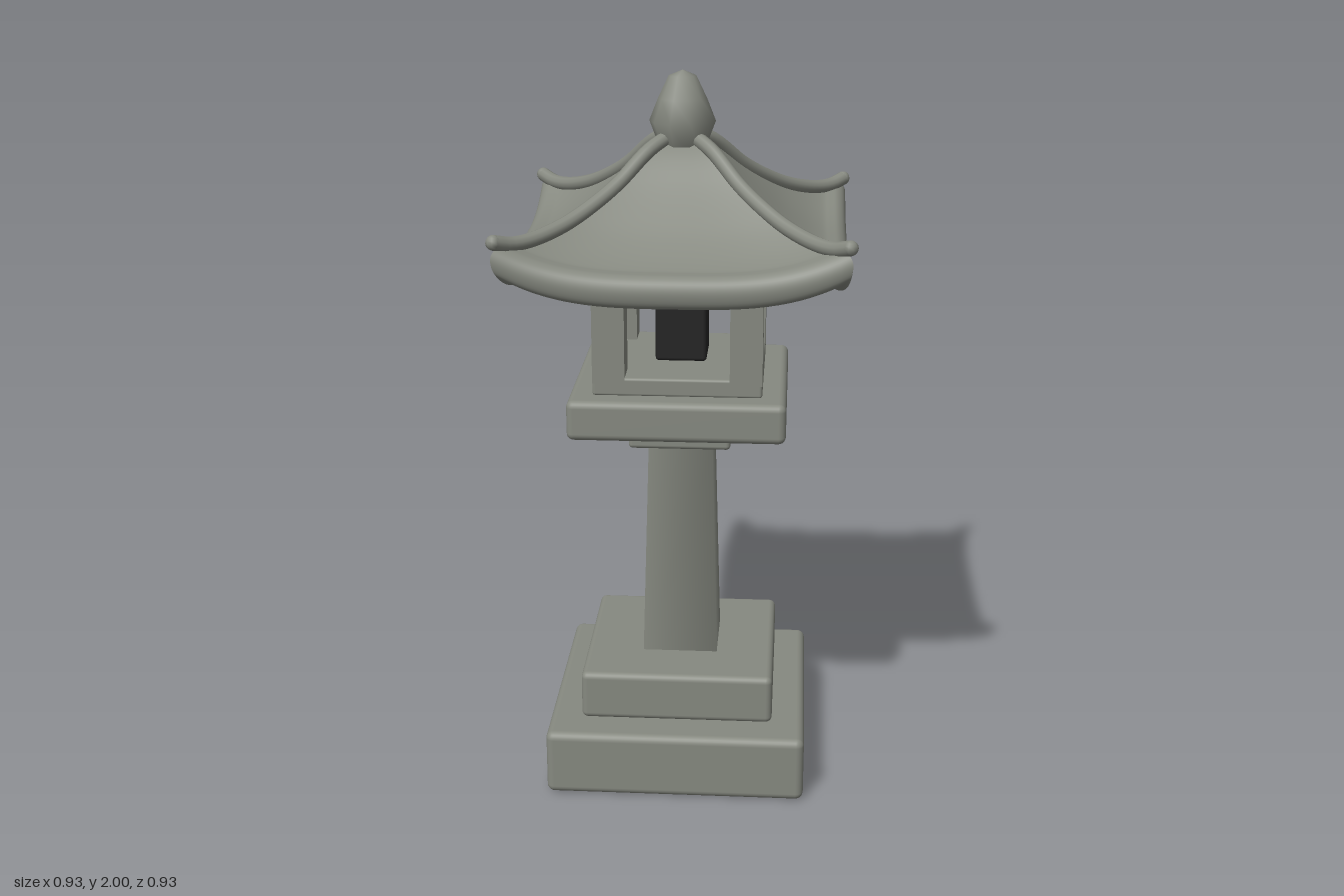
import * as THREE from 'three';
import { RoundedBoxGeometry } from 'three/addons/geometries/RoundedBoxGeometry.js';

const stone = new THREE.MeshStandardMaterial({ name: 'stone', color: 0x868980 });
const dark = new THREE.MeshStandardMaterial({ name: 'dark core', color: 0x242424 });

const EAVE = 0.455;

// One roof quarter: an eave cross-section swept sideways, lifted toward the corners
function roofSide() {
  const profile = new THREE.SplineCurve([
    [0, 1.84], [0.08, 1.79], [0.16, 1.71], [0.22, 1.655], [0.28, 1.606], [0.34, 1.567],
    [0.385, 1.546], [0.408, 1.543], [0.43, 1.54], [0.448, 1.525], [0.455, 1.5],
    [0.448, 1.47], [0.43, 1.456], [0.405, 1.464], [0.36, 1.495], [0.29, 1.505], [0.2, 1.51],
  ].map(([r, y]) => new THREE.Vector2(r, y))).getPoints(64);
  const n = 32, pos = [], idx = [];
  profile.forEach((p, j) => {
    for (let i = 0; i <= n; i++) {
      const u = (i / n) * 2 - 1;
      const lift = 0.08 * Math.abs(u) ** 3.2 * (p.x / EAVE) ** 2;
      pos.push(u * p.x, p.y + lift, p.x);
      if (i < n && j < profile.length - 1) {
        const a = j * (n + 1) + i, b = a + n + 1;
        idx.push(a, b, a + 1, b, b + 1, a + 1);
      }
    }
  });
  const g = new THREE.BufferGeometry();
  g.setAttribute('position', new THREE.Float32BufferAttribute(pos, 3));
  g.setIndex(idx);
  g.computeVertexNormals();
  return g;
}

export function createModel() {
  const model = new THREE.Group();
  model.name = 'stoneLantern';

  const add = (name, geometry, material = stone, parent = model) => {
    const mesh = new THREE.Mesh(geometry, material);
    mesh.name = name;
    parent.add(mesh);
    return mesh;
  };
  // Square slab from half width, bottom and top
  const slab = (name, half, y0, y1, radius, material = stone) => {
    const g = radius
      ? new RoundedBoxGeometry(half * 2, y1 - y0, half * 2, 3, radius)
      : new THREE.BoxGeometry(half * 2, y1 - y0, half * 2);
    add(name, g, material).position.y = (y0 + y1) / 2;
  };

  // Stepped base
  slab('lowerBase', 0.365, 0, 0.19, 0.022);
  slab('upperBase', 0.272, 0.193, 0.335, 0.018);

  // Tapered square shaft with softly shaded corners
  const shaft = add('shaft', new THREE.CylinderGeometry(0.09 * Math.SQRT2, 0.107 * Math.SQRT2, 0.63, 4));
  shaft.position.y = 0.645;
  shaft.rotation.y = Math.PI / 4;

  // Platform and firebox floor
  slab('shaftCap', 0.142, 0.972, 1.04, 0.012);
  slab('platform', 0.296, 1.045, 1.157, 0.02);
  slab('fireboxSill', 0.23, 1.155, 1.206, 0.008);
  slab('lampCore', 0.071, 1.208, 1.376, 0.01, dark);

  // Corner posts and the plate they carry
  const posts = new THREE.Group();
  posts.name = 'posts';
  model.add(posts);
  for (const x of [-1, 1]) for (const z of [-1, 1]) {
    add('post', new THREE.BoxGeometry(0.088, 0.27, 0.088), stone, posts)
      .position.set(x * 0.186, 1.325, z * 0.186);
  }
  slab('topPlate', 0.236, 1.452, 1.53, 0);

  // Roof sides and the hip ridges between them
  const roof = new THREE.Group();
  roof.name = 'roof';
  model.add(roof);
  const side = roofSide();
  const hipPoints = [[0.03, 1.83], [0.085, 1.797], [0.16, 1.722], [0.22, 1.677], [0.285, 1.64],
    [0.36, 1.616], [0.41, 1.614], [0.447, 1.626]].map(([r, y]) => new THREE.Vector3(r, y, r));
  const hip = new THREE.TubeGeometry(new THREE.CatmullRomCurve3(hipPoints), 32, 0.02, 10);
  const knob = new THREE.SphereGeometry(0.02, 10, 8);
  for (let k = 0; k < 4; k++) {
    const quarter = new THREE.Group();
    quarter.name = 'roofQuarter';
    quarter.rotation.y = k * Math.PI / 2;
    roof.add(quarter);
    add('roofSide', side, stone, quarter);
    add('hipRidge', hip, stone, quarter);
    add('hipEnd', knob, stone, quarter).position.copy(hipPoints.at(-1));
  }

  // Bud-shaped finial
  const bud = [[0, 1.755], [0.03, 1.76], [0.06, 1.785], [0.09, 1.865], [0.066, 1.925], [0.037, 1.985], [0, 2]];
  add('finial', new THREE.LatheGeometry(bud.map(([r, y]) => new THREE.Vector2(r, y)), 10))
    .rotation.y = Math.PI / 10;

  return model;
}
